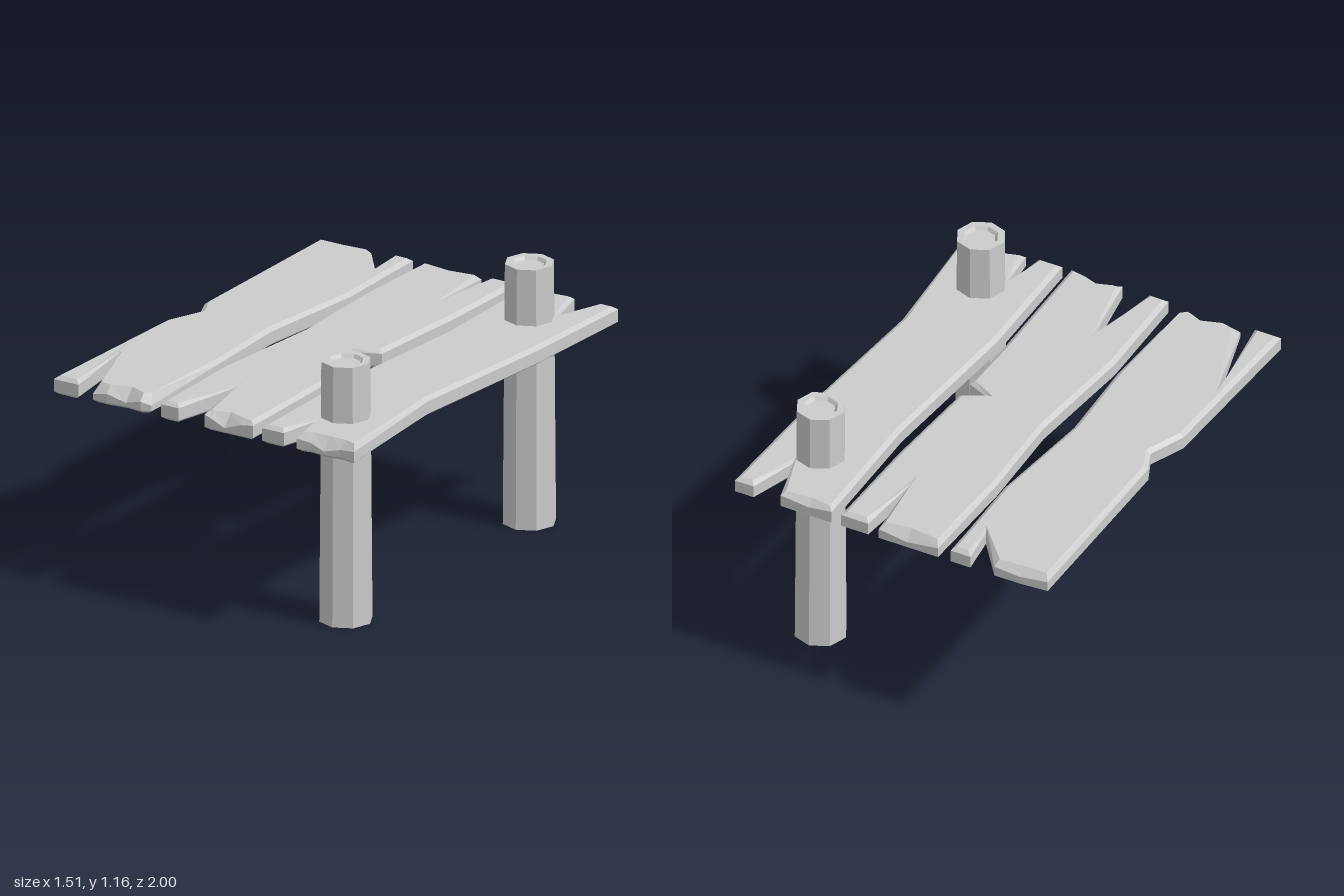
import * as THREE from 'three';

const BOTTOM = 0.83, THICK = 0.085, BEVEL = 0.015, INSET = 0.02;

// Plank outlines seen from above: [x, z, chip], where chip widens the worn top edge
const PLANKS = {
  rightPlank: [
    [-0.74, -0.99, 0.01], [-0.61, -1, 0.02], [-0.49, -1, 0.01], [-0.35, -0.82], [-0.375, -1], [-0.28, -1],
    [-0.275, -0.82], [-0.262, -0.5], [-0.31, 0.02], [-0.283, 0.45],
    [-0.288, 0.97, 0.03], [-0.33, 0.99, 0.015], [-0.41, 0.98, 0.04], [-0.5, 0.99, 0.015], [-0.57, 0.99, 0.03],
    [-0.715, 0.52], [-0.635, 1], [-0.76, 1],
    [-0.745, 0.18], [-0.68, 0.01], [-0.725, -0.09],
  ],
  middlePlank: [
    [-0.22, -1, 0.01], [-0.07, -1, 0.03], [0.065, -1, 0.01], [0.093, -0.64], [0.115, -1], [0.245, -1],
    [0.245, -0.5], [0.222, -0.01], [0.12, 0.035], [0.225, 0.08], [0.225, 0.4],
    [0.245, 1], [0.18, 1, 0.01], [0.1, 1, 0.04], [0.03, 1, 0.01], [0, 1],
    [-0.065, 0.64], [-0.13, 1], [-0.22, 1],
    [-0.24, 0.5], [-0.2, -0.05], [-0.225, -0.5],
  ],
  leftPlank: [
    [0.29, -1], [0.4, -1, 0.015], [0.535, -1], [0.6, -0.77], [0.665, -1], [0.755, -1],
    [0.745, -0.4], [0.695, 0.35],
    [0.755, 1, 0.01], [0.68, 0.99, 0.02], [0.6, 1, 0.04], [0.53, 0.99, 0.02], [0.465, 1, 0.01],
    [0.435, 0.79], [0.4, 1], [0.29, 1],
    [0.27, 0.4], [0.312, -0.35],
  ],
};

function plankGeometry(outline) {
  const shape = new THREE.Shape(outline.map(([x, z]) => new THREE.Vector2(x, -z)));
  const geo = new THREE.ExtrudeGeometry(shape, {
    depth: THICK - 2 * BEVEL, bevelEnabled: true, bevelSegments: 1,
    bevelThickness: BEVEL, bevelSize: INSET, bevelOffset: -INSET,
  });
  geo.rotateX(-Math.PI / 2);
  geo.translate(0, BOTTOM + BEVEL, 0);

  // Chips: drop the outer rim of the top edge and pull the flat top back from it
  const p = geo.attributes.position;
  for (let i = 0; i < p.count; i++) {
    const x = p.getX(i), y = p.getY(i), z = p.getZ(i);
    if (y < BOTTOM + THICK / 2) continue;
    let chip = 0, best = Infinity;
    for (const [ox, oz, c = 0] of outline) {
      const d = Math.hypot(ox - x, oz - z);
      if (d < best) { best = d; chip = c; }
    }
    if (y > BOTTOM + THICK - BEVEL / 2) p.setZ(i, z - Math.sign(z) * chip * 0.8);
    else p.setY(i, y - chip);
  }
  geo.computeVertexNormals();
  return geo;
}

// Eight-sided tapering post with a shallow hollow in its top
function postGeometry() {
  const profile = [
    [0, 0], [0.116, 0], [0.107, 1.165], [0.076, 1.165], [0.064, 1.15], [0, 1.15],
  ].map(([r, y]) => new THREE.Vector2(r, y));
  return new THREE.LatheGeometry(profile, 8);
}

export function createModel() {
  const group = new THREE.Group();
  const wood = new THREE.MeshStandardMaterial({ color: 0xcccccc, flatShading: true });

  // Deck
  for (const [name, outline] of Object.entries(PLANKS)) {
    const plank = new THREE.Mesh(plankGeometry(outline), wood);
    plank.name = name;
    group.add(plank);
  }

  // Posts through the left plank
  for (const [name, z] of [['frontPost', 0.71], ['backPost', -0.68]]) {
    const post = new THREE.Mesh(postGeometry(), wood);
    post.name = name;
    post.position.set(0.52, 0, z);
    post.rotation.y = 0.07;
    group.add(post);
  }
  return group;
}
